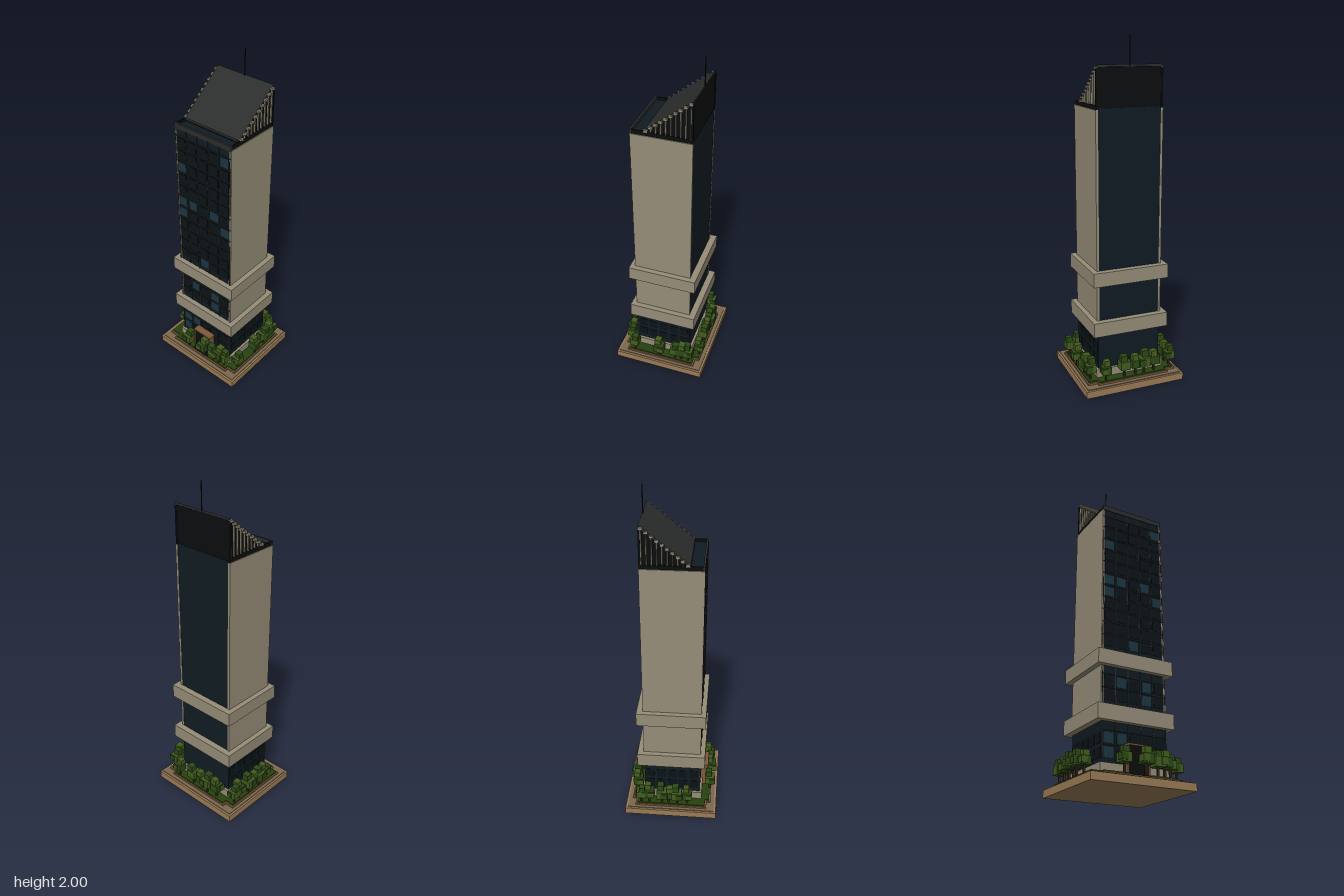
import * as THREE from 'three';

const mat = (color) => new THREE.MeshStandardMaterial({ color });
const M = {
  stone: mat(0x968d78), tan: mat(0x9a7b55), paving: mat(0x7a6850), curb: mat(0x80603c),
  glass: mat(0x101b22), pane: mat(0x0b1317), lit: mat(0x1c3542), mullion: mat(0x2a2c28),
  black: mat(0x0c0d0e), roof: mat(0x2c2d2d), lawn: mat(0x27420f), trunk: mat(0x38281a),
  leafA: mat(0x2b4a17), leafB: mat(0x435c1e), bronze: mat(0x7d5a38),
};

// Box given by its min and max corners
function box(parent, name, material, x0, x1, y0, y1, z0, z1) {
  const mesh = new THREE.Mesh(new THREE.BoxGeometry(x1 - x0, y1 - y0, z1 - z0), material);
  mesh.position.set((x0 + x1) / 2, (y0 + y1) / 2, (z0 + z1) / 2);
  mesh.name = name;
  parent.add(mesh);
  return mesh;
}

function group(parent, name) {
  const g = new THREE.Group();
  g.name = name;
  parent.add(g);
  return g;
}

function buildGrounds(root) {
  const g = group(root, 'grounds');
  box(g, 'baseSlab', M.tan, -0.305, 0.305, 0, 0.042, -0.28, 0.28);
  box(g, 'paving', M.paving, -0.293, 0.293, 0.042, 0.047, -0.267, 0.267);
  // Cross-shaped curb around the planting
  box(g, 'curbLong', M.curb, -0.275, 0.275, 0.047, 0.058, -0.22, 0.22);
  box(g, 'curbDeep', M.curb, -0.219, 0.219, 0.047, 0.0575, -0.244, 0.244);
  for (const s of [-1, 1]) {
    box(g, 'sideLawn', M.lawn, s * 0.2325 - 0.0345, s * 0.2325 + 0.0345, 0.058, 0.066, -0.21, 0.21);
    box(g, 'frontLawn', M.lawn, s * 0.136 - 0.075, s * 0.136 + 0.075, 0.058, 0.0655, 0.18, 0.235);
  }
  box(g, 'backLawn', M.lawn, -0.21, 0.21, 0.058, 0.0655, -0.237, -0.18);
  box(g, 'doorMat', M.black, -0.06, 0.06, 0.058, 0.062, 0.18, 0.235);
  box(g, 'plinth', M.stone, -0.207, 0.207, 0.058, 0.115, -0.183, 0.187);
}

function buildTower(root) {
  const g = group(root, 'tower');
  box(g, 'glassCore', M.glass, -0.192, 0.192, 0.11, 1.612, -0.168, 0.172);
  for (const s of [-1, 1])
    box(g, 'sideWall', M.stone, s * 0.192 - 0.007, s * 0.192 + 0.007, 0.33, 1.615, -0.17, 0.174);
  for (const [y0, y1] of [[0.33, 0.415], [0.632, 0.715]])
    box(g, 'stoneBand', M.stone, -0.23, 0.23, y0, y1, -0.206, 0.203);

  // Front windows, a few of them lighter
  const lit = ['0,16', '0,13', '3,13', '1,13', '0,12', '4,12', '2,8', '1,5', '3,5', '3,4', '0,0', '0,1', '1,1', '4,18'];
  const rowY = (r) => 0.17 + r * 0.0755;
  const f = group(g, 'frontFacade');
  for (let r = 0; r < 19; r++) {
    const y = rowY(r);
    if ([2, 3, 6, 7].includes(r) && !(y > 0.445 && y < 0.6)) continue;
    for (let c = 0; c < 5; c++) {
      const x = (c - 2) * 0.0765;
      box(f, 'window', lit.includes(c + ',' + r) ? M.lit : M.pane,
        x - 0.028, x + 0.028, y - 0.028, y + 0.028, 0.171, 0.1745);
    }
    box(f, 'floorBar', M.mullion, -0.196, 0.196, y + 0.036, y + 0.0395, 0.17, 0.178);
  }
  for (let c = 0; c < 6; c++) {
    const x = (c - 2.5) * 0.0765;
    box(f, 'mullion', M.mullion, x - 0.0018, x + 0.0018, 0.115, 1.612, 0.17, 0.1765);
  }

  // Ground-floor side windows
  for (const s of [-1, 1]) {
    for (let i = 0; i < 5; i++) {
      const z = 0.002 + (i - 2) * 0.067;
      for (const r of [0, 1])
        box(g, 'sideWindow', M.pane, s * 0.1925 - 0.002, s * 0.1925 + 0.002,
          rowY(r) - 0.028, rowY(r) + 0.028, z - 0.026, z + 0.026);
    }
  }

  // Entrance
  const e = group(g, 'entrance');
  box(e, 'doorway', M.black, -0.058, 0.058, 0.06, 0.212, 0.17, 0.212);
  box(e, 'canopy', M.bronze, -0.066, 0.07, 0.211, 0.22, 0.17, 0.22);
  for (const s of [-1, 1])
    box(e, 'doorJamb', M.bronze, s * 0.062 - 0.004, s * 0.062 + 0.004, 0.06, 0.212, 0.17, 0.216);
}

function buildCrown(root) {
  const g = group(root, 'crown');
  // Terrace and its parapet
  box(g, 'terrace', M.glass, -0.189, 0.189, 1.61, 1.622, -0.168, 0.17);
  box(g, 'frontParapet', M.roof, -0.196, 0.196, 1.61, 1.64, 0.165, 0.176);
  for (const s of [-1, 1])
    box(g, 'sideParapet', M.black, s * 0.19 - 0.004, s * 0.19 + 0.004, 1.61, 1.638, -0.168, 0.17);

  // Wedge under the sloping roof, drawn in the z-y plane and extruded along x
  const section = (pts) => new THREE.Shape(pts.map(([z, y]) => new THREE.Vector2(-z, y)));
  const prism = (name, material, pts, halfWidth) => {
    const geo = new THREE.ExtrudeGeometry(section(pts), { depth: halfWidth * 2, bevelEnabled: false });
    geo.translate(0, 0, -halfWidth).rotateY(Math.PI / 2);
    const mesh = new THREE.Mesh(geo, material);
    mesh.name = name;
    g.add(mesh);
  };
  const top = (z) => 1.64 + (0.1 - z) * 0.785;
  prism('roofWedge', M.black, [[0.1, 1.615], [0.1, 1.63], [-0.166, top(-0.166) - 0.008], [-0.166, 1.615]], 0.184);
  prism('slopingRoof', M.roof, [[0.1, 1.63], [0.1, 1.64], [-0.168, 1.85], [-0.168, 1.838]], 0.188);

  // Stepped caps and posts along both sloping edges
  for (const s of [-1, 1]) {
    for (let i = 0; i < 10; i++) {
      const z = 0.087 - i * 0.027;
      const y = top(z);
      box(g, 'stepCap', M.stone, s * 0.191 - 0.0075, s * 0.191 + 0.0075, y - 0.014, y - 0.002, z - 0.011, z + 0.011);
      box(g, 'crownPost', M.stone, s * 0.188 - 0.0045, s * 0.188 + 0.0045, 1.612, y - 0.012, z - 0.003, z + 0.003);
    }
    box(g, 'cornerPost', M.black, s * 0.19 - 0.006, s * 0.19 + 0.006, 1.61, 1.835, -0.169, -0.158);
  }

  const mast = new THREE.Mesh(new THREE.CylinderGeometry(0.0025, 0.0035, 0.16, 8), M.black);
  mast.position.set(0, 1.92, -0.166);
  mast.name = 'antenna';
  g.add(mast);
}

function buildTrees(root) {
  const g = group(root, 'trees');
  const spots = [
    [-0.255, -0.185], [-0.25, -0.135], [-0.26, -0.055], [-0.252, -0.015], [-0.262, 0.037], [-0.25, 0.1],
    [0.248, -0.18], [0.25, -0.135], [0.252, -0.095], [0.265, 0.005], [0.257, 0.17],
    [-0.14, -0.215], [-0.07, -0.228], [-0.02, -0.218], [0.052, -0.222], [0.17, -0.23],
    [-0.095, 0.234], [0.03, 0.236], [0.105, 0.225], [0.148, 0.222], [0.185, 0.216],
  ];
  spots.forEach(([x, z], i) => {
    const t = group(g, 'tree');
    t.position.set(x, 0.062, z);
    t.scale.setScalar(0.86 + 0.14 * ((i * 7) % 5) / 4);
    const [a, b] = i % 2 ? [M.leafA, M.leafB] : [M.leafB, M.leafA];
    const d = i % 3 ? 0.008 : -0.008;
    box(t, 'trunk', M.trunk, -0.006, 0.006, 0, 0.07, -0.006, 0.006);
    box(t, 'crownLow', a, -0.031, 0.031, 0.055, 0.108, -0.031, 0.031);
    box(t, 'crownTop', b, d - 0.021, d + 0.021, 0.09, 0.147, -d - 0.02, -d + 0.02);
    box(t, 'crownSide', b, -d * 2 - 0.02, -d * 2 + 0.02, 0.064, 0.1, d * 2 - 0.02, d * 2 + 0.02);
  });
}

export function createModel() {
  const root = new THREE.Group();
  root.name = 'officeTower';
  buildGrounds(root);
  buildTower(root);
  buildCrown(root);
  buildTrees(root);
  return root;
}
